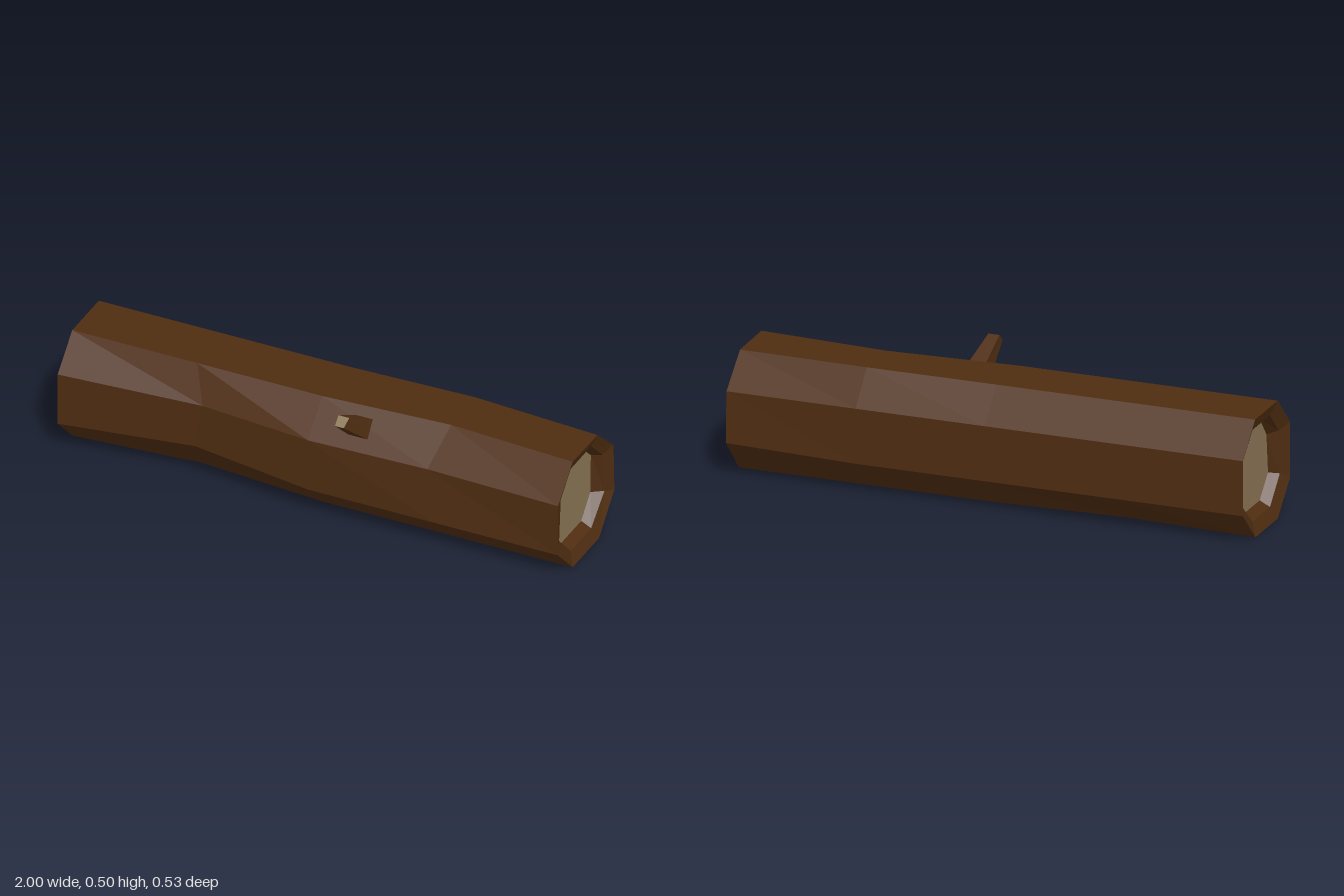
import * as THREE from 'three';

const bark = new THREE.MeshStandardMaterial({ color: 0x4f2d11, flatShading: true });
const wood = new THREE.MeshStandardMaterial({ color: 0x8a7555, flatShading: true });

function makeMesh(points, material, name) {
  const geo = new THREE.BufferGeometry().setFromPoints(points);
  geo.computeVertexNormals();
  const mesh = new THREE.Mesh(geo, material);
  mesh.name = name;
  return mesh;
}

// Skin between successive rings, each counterclockwise seen from the far end
function loft(rings, material, name) {
  const pts = [];
  for (let r = 0; r < rings.length - 1; r++) {
    const a = rings[r], b = rings[r + 1], n = a.length;
    for (let i = 0; i < n; i++) {
      const j = (i + 1) % n;
      pts.push(a[i], a[j], b[j], a[i], b[j], b[i]);
    }
  }
  return makeMesh(pts, material, name);
}

// Fan closing a ring
function cap(ring, material, name) {
  const pts = [];
  for (let i = 1; i < ring.length - 1; i++) pts.push(ring[0], ring[i], ring[i + 1]);
  return makeMesh(pts, material, name);
}

// Octagons as [z, y], from the top front corner down the front and round the back
const outer = [[0.08, 0.45], [0.2, 0.33], [0.2, 0.12], [0.08, 0], [-0.135, 0], [-0.255, 0.12], [-0.255, 0.33], [-0.138, 0.45]];
const lip = [[0.055, 0.4], [0.137, 0.315], [0.15, 0.147], [0.055, 0.05], [-0.113, 0.05], [-0.222, 0.147], [-0.205, 0.31], [-0.113, 0.4]];
const core = [[0.055, 0.38], [0.12, 0.3], [0.135, 0.15], [0.055, 0.07], [-0.113, 0.07], [-0.187, 0.15], [-0.192, 0.305], [-0.113, 0.38]];

// Octagon at x, with single corners moved by {corner: [dx, dz, dy]}
const ringAt = (x, profile, moved = {}) => profile.map(([z, y], i) => {
  const [dx, dz, dy] = moved[i] || [0, 0, 0];
  return new THREE.Vector3(x + dx, y + dy, z + dz);
});

export function createModel() {
  const group = new THREE.Group();

  // Trunk with dented sides and recessed ends
  const rings = [
    ringAt(-0.94, core),
    ringAt(-0.98, lip),
    ringAt(-1, outer),
    ringAt(-0.5, outer, { 1: [0.06, -0.04, 0], 2: [0.03, -0.04, 0.03], 3: [0, -0.03, 0.008], 4: [0, 0.01, 0.006] }),
    ringAt(0, outer),
    ringAt(0.5, outer, { 0: [0, -0.03, 0], 1: [-0.03, -0.015, 0], 7: [0, -0.011, 0.003] }),
    ringAt(1, outer, { 5: [0, -0.007, 0.015], 7: [0, 0.013, -0.004] }),
    ringAt(0.98, lip),
    ringAt(0.94, core),
  ];
  group.add(loft(rings, bark, 'trunk'));
  group.add(cap(rings[rings.length - 1], wood, 'leftCutEnd'));
  group.add(cap([...rings[0]].reverse(), wood, 'rightCutEnd'));

  // Tapered twig stub on the upper front
  const v = (x, y, z) => new THREE.Vector3(x, y, z);
  const base = [v(0.145, 0.41, 0.08), v(0.14, 0.352, 0.137), v(0.222, 0.352, 0.137), v(0.215, 0.41, 0.08)];
  const tip = [v(0.14, 0.497, 0.235), v(0.14, 0.468, 0.265), v(0.175, 0.468, 0.265), v(0.183, 0.497, 0.235)];
  const twig = new THREE.Group();
  twig.name = 'twig';
  twig.add(loft([base, tip], bark, 'twigSides'), cap(tip, wood, 'twigCutEnd'));
  group.add(twig);

  return group;
}
